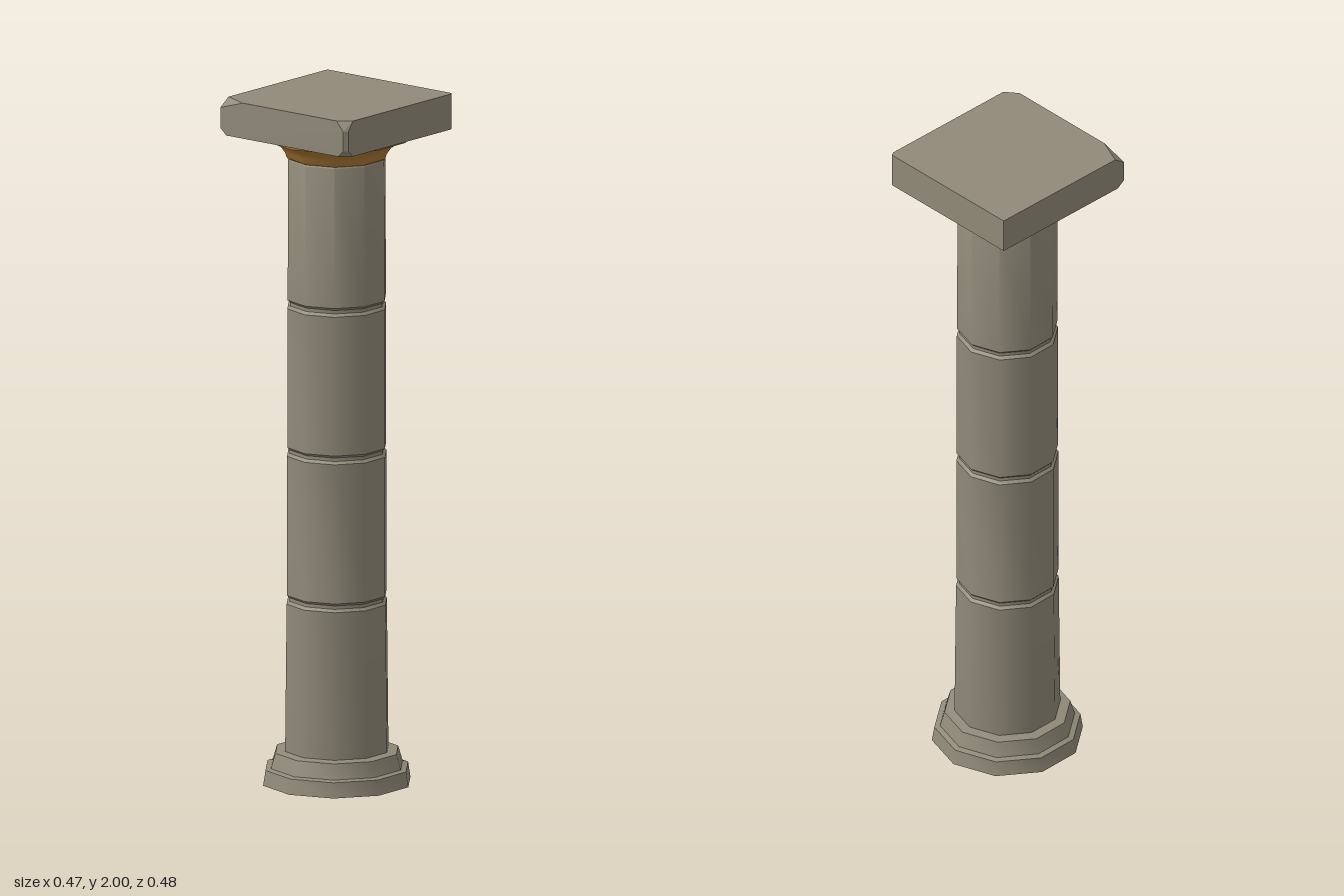
import * as THREE from 'three';
import { toCreasedNormals } from 'three/addons/utils/BufferGeometryUtils.js';
import { ConvexGeometry } from 'three/addons/geometries/ConvexGeometry.js';

const SIDES = 10;

export function createModel() {
  const model = new THREE.Group();
  model.name = 'column';

  const stone = new THREE.MeshStandardMaterial({ color: 0x918a79 });
  stone.name = 'stone';
  const bronze = new THREE.MeshStandardMaterial({ color: 0xae7a35 });
  bronze.name = 'bronze';

  const add = (name, geometry, material) => {
    const mesh = new THREE.Mesh(geometry, material);
    mesh.name = name;
    model.add(mesh);
  };

  // Ten-sided turned part, smooth around, sharp at the profile's steps
  const turned = (name, profile, material) => {
    const points = profile.map(([r, y]) => new THREE.Vector2(r, y));
    add(name, toCreasedNormals(new THREE.LatheGeometry(points, SIDES), 0.68), material);
  };

  // Stepped base ring, hollow underneath
  turned('base', [
    [0.15, 0.085], [0.204, 0.012], [0.216, 0.012], [0.209, 0.056], [0.193, 0.06],
    [0.188, 0.078], [0.18, 0.104], [0.148, 0.108],
  ], stone);

  // Shaft with tapered foot and a bevelled groove between the drums
  const shaft = [[0, 0], [0.119, 0], [0.15, 0.085], [0.1515, 0.11]];
  const seams = [[0.548, 0.147], [0.977, 0.146], [1.405, 0.145]];
  for (const [y, r] of seams) {
    shaft.push([r, y - 0.013], [r - 0.008, y - 0.005], [r - 0.008, y + 0.005], [r - 0.001, y + 0.012]);
  }
  shaft.push([0.143, 1.822], [0.138, 1.83], [0, 1.83]);
  turned('shaft', shaft, stone);

  // Flared capital with a thin lip
  turned('capital', [
    [0.134, 1.822], [0.146, 1.83], [0.151, 1.845], [0.163, 1.862], [0.182, 1.876],
    [0.208, 1.882], [0.21, 1.893], [0.19, 1.9],
  ], bronze);

  // Slightly turned slab with chipped corners
  const slab = [
    // back corner on the right, sharp
    [-0.227, 2, -0.243], [-0.227, 1.897, -0.243],
    // back corner on the left, narrow bevel
    [0.229, 2, -0.233], [0.235, 2, -0.221], [0.229, 1.897, -0.233], [0.235, 1.897, -0.221],
    // front corner on the left, bevelled and chipped above and below
    [0.227, 2, 0.212], [0.19, 2, 0.24],
    [0.225, 1.972, 0.23], [0.215, 1.972, 0.241],
    [0.225, 1.915, 0.23], [0.215, 1.915, 0.241],
    [0.227, 1.897, 0.212], [0.195, 1.897, 0.24],
    // front corner on the right, chipped above
    [-0.236, 2, 0.195], [-0.155, 2, 0.232], [-0.237, 1.975, 0.23],
    [-0.237, 1.915, 0.23], [-0.236, 1.897, 0.205], [-0.215, 1.897, 0.231],
  ].map((p) => new THREE.Vector3(...p));
  add('slab', new ConvexGeometry(slab), stone);

  return model;
}
